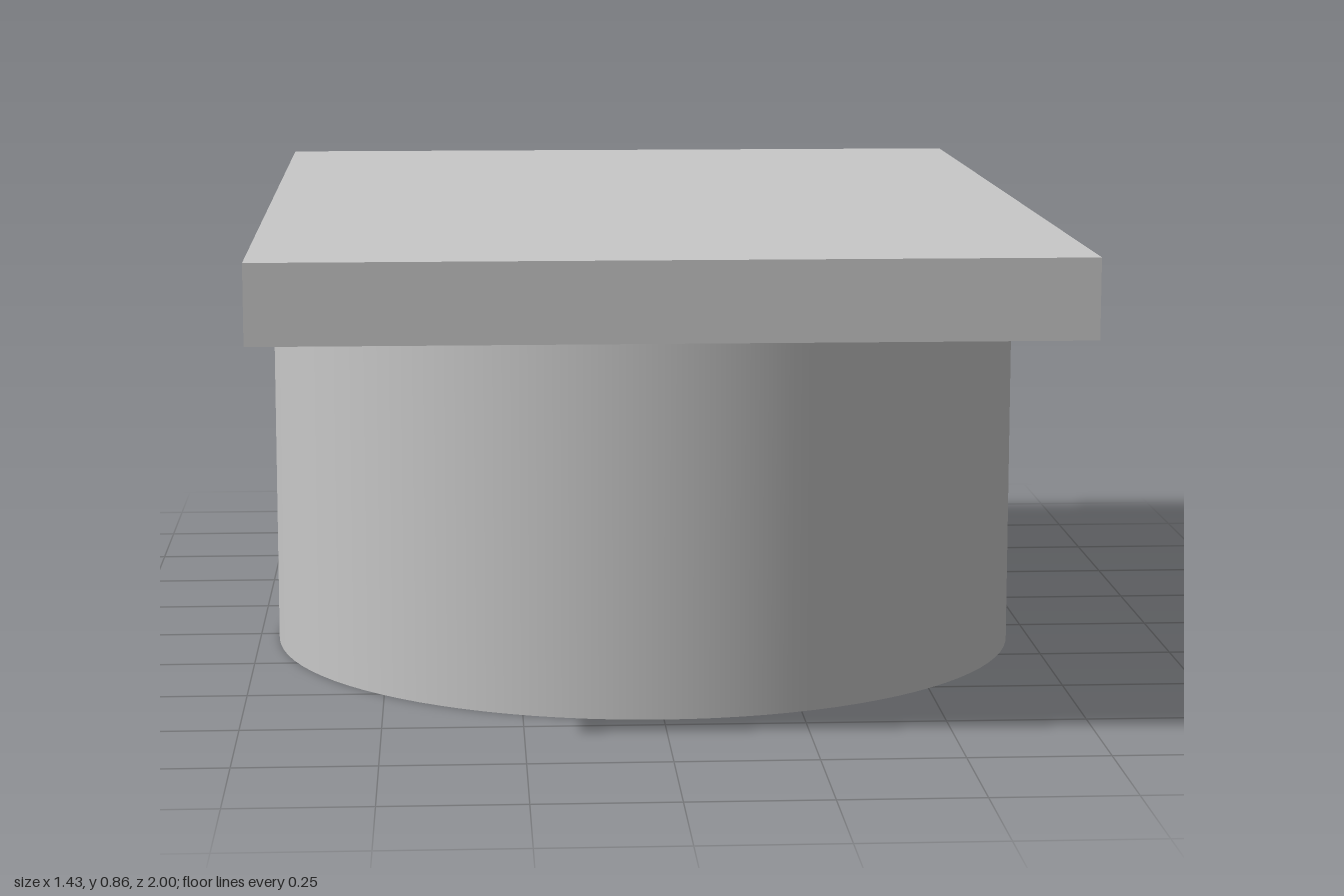
import * as THREE from 'three';

export function createModel() {
  const group = new THREE.Group();
  const grey = new THREE.MeshStandardMaterial({ color: 0xc8c8c8 });
  grey.name = 'light grey';

  const radius = 0.714;
  const bodyHeight = 0.717;
  const plateHeight = 0.14;

  // Smooth round body standing on the ground
  const body = new THREE.Mesh(
    new THREE.CylinderGeometry(radius, radius, bodyHeight, 96), grey);
  body.name = 'cylindricalBody';
  body.position.y = bodyHeight / 2;

  // Rectangular plate on top, as wide as the body and longer front to back
  const plate = new THREE.Mesh(
    new THREE.BoxGeometry(radius * 2, plateHeight, 2), grey);
  plate.name = 'topPlate';
  plate.position.y = bodyHeight + plateHeight / 2;

  group.add(body, plate);
  return group;
}
